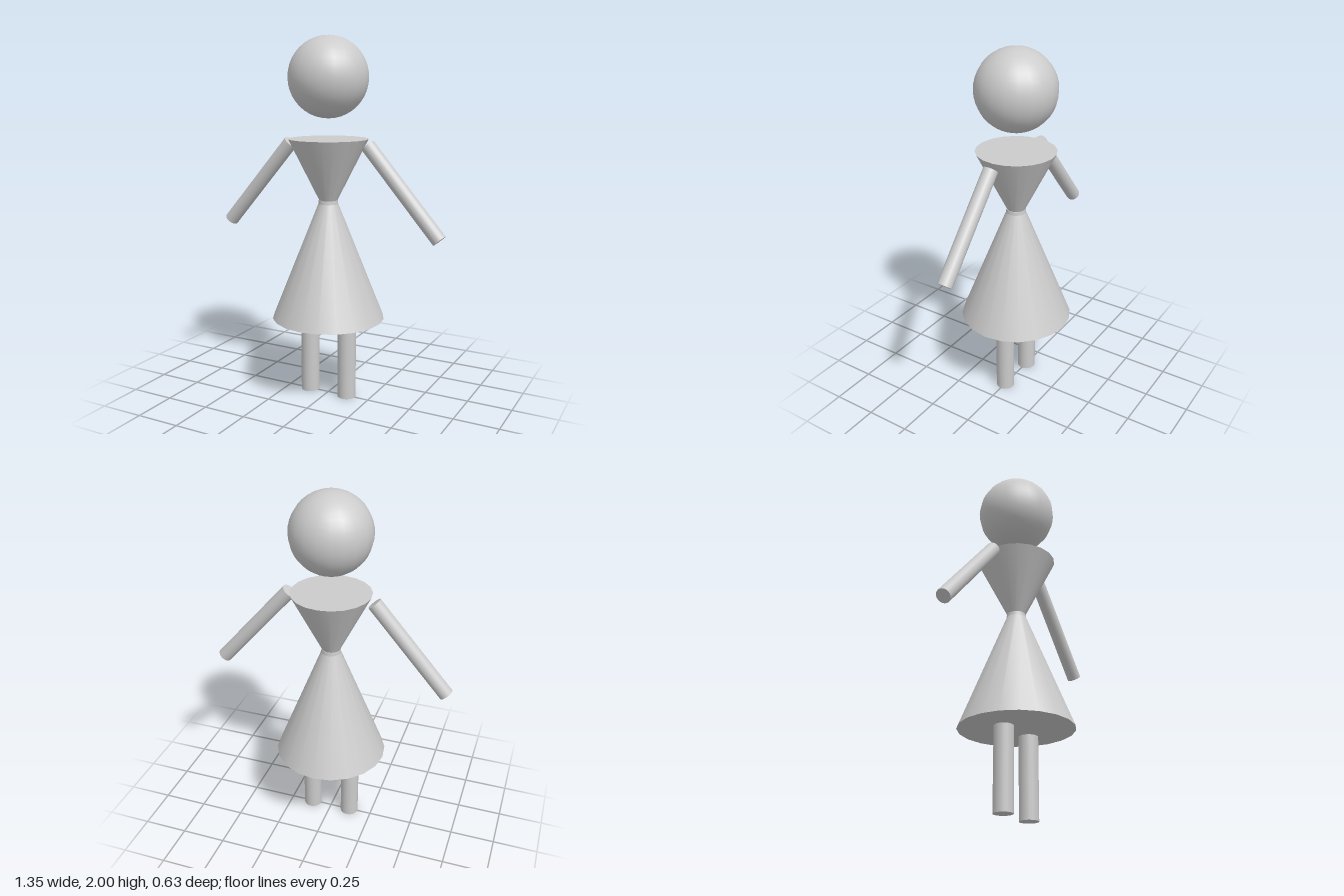
import * as THREE from 'three';

const SIDES = 20;

export function createModel() {
  const group = new THREE.Group();
  const material = new THREE.MeshStandardMaterial({ color: 0xcccccc });

  const add = (name, geometry, x, y) => {
    const mesh = new THREE.Mesh(geometry, material);
    mesh.name = name;
    mesh.position.set(x, y, 0);
    group.add(mesh);
    return mesh;
  };

  // Upright tapered part between two heights
  const frustum = (name, rTop, rBottom, yTop, yBottom, x = 0) =>
    add(name, new THREE.CylinderGeometry(rTop, rBottom, yTop - yBottom, SIDES), x, (yTop + yBottom) / 2);

  // Head floats above the body
  add('head', new THREE.SphereGeometry(0.218, SIDES, SIDES), 0, 1.782);

  // Body: bodice, narrow waist and skirt
  frustum('bodice', 0.218, 0.05, 1.455, 1.12);
  frustum('waist', 0.053, 0.055, 1.12, 1.1);
  frustum('skirt', 0.055, 0.313, 1.1, 0.455);

  // Mirrored limbs
  for (const [side, s] of [['left', 1], ['right', -1]]) {
    frustum(side + 'Leg', 0.052, 0.052, 0.445, 0, s * 0.117);

    const shoulder = new THREE.Vector3(s * 0.235, 1.428, 0);
    const hand = new THREE.Vector3(s * 0.645, 0.956, 0);
    const direction = shoulder.clone().sub(hand);
    const arm = add(side + 'Arm', new THREE.CylinderGeometry(0.04, 0.04, direction.length(), SIDES), 0, 0);
    arm.position.copy(shoulder).add(hand).multiplyScalar(0.5);
    arm.quaternion.setFromUnitVectors(new THREE.Vector3(0, 1, 0), direction.normalize());
  }

  return group;
}
